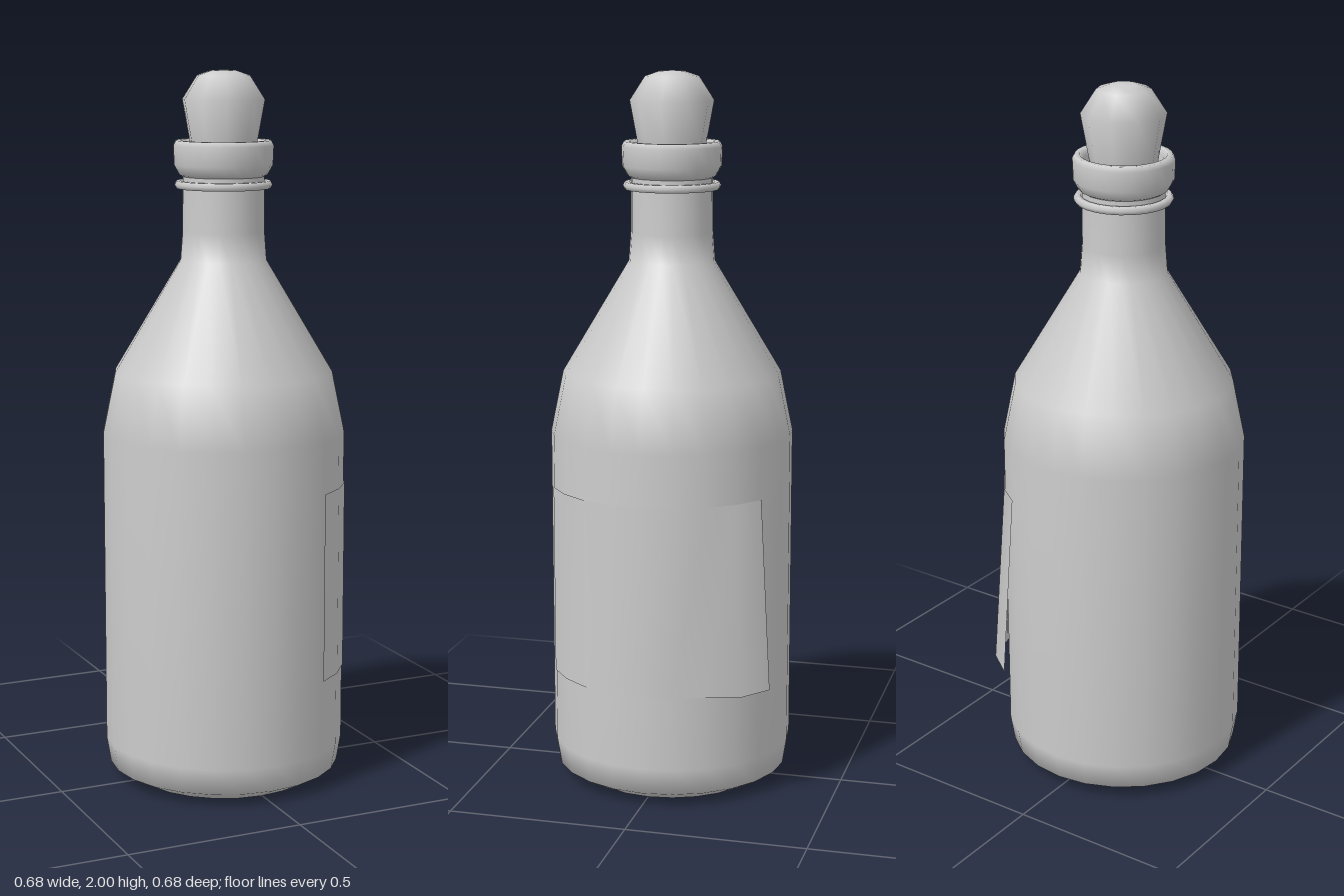
import * as THREE from 'three';

export function createModel() {
  const group = new THREE.Group();
  const grey = new THREE.MeshStandardMaterial({ color: 0xcccccc, side: THREE.DoubleSide });

  function add(name, geometry) {
    const mesh = new THREE.Mesh(geometry, grey);
    mesh.name = name;
    group.add(mesh);
    return mesh;
  }

  // Turned part from [radius, height] pairs
  function turned(name, profile, sides) {
    const points = profile.map(([r, y]) => new THREE.Vector2(r, y));
    return add(name, new THREE.LatheGeometry(points, sides));
  }

  // Bottle: flat base, rounded foot, straight wall, shoulder and neck
  turned('base', [[0, 0], [0.262, 0]], 24);
  turned('body', [
    [0.262, 0], [0.328, 0.036], [0.34, 0.11], [0.34, 1.0],
    [0.305, 1.17], [0.12, 1.48], [0.114, 1.56], [0.113, 1.73],
  ], 24);

  // Thin ring under the lip
  const ring = add('neckRing', new THREE.TorusGeometry(0.124, 0.012, 6, 24));
  ring.geometry.rotateX(Math.PI / 2);
  ring.position.y = 1.688;

  // Rolled lip, turning down into the neck
  turned('lip', [
    [0.104, 1.705], [0.122, 1.715], [0.137, 1.742], [0.139, 1.795],
    [0.132, 1.809], [0.118, 1.809], [0.108, 1.795], [0.1, 1.7],
  ], 24);

  // Tapered stopper with a domed top
  const stopper = turned('stopper', [
    [0, 1.68], [0.08, 1.68], [0.094, 1.8], [0.116, 1.92], [0.074, 1.985], [0.035, 1.998], [0, 2.0],
  ], 10);
  stopper.rotation.y = Math.PI / 2;

  // Label wrapped around the left side, its lower back corner peeling away
  const segments = 8;
  const label = new THREE.PlaneGeometry(1, 1, segments, 1);
  const p = label.attributes.position;
  for (let i = 0; i < p.count; i++) {
    const column = i % (segments + 1);
    const angle = THREE.MathUtils.degToRad(60 - column * 15);
    const isBottom = i > segments;
    let radius = 0.343;
    if (isBottom && column >= 7) radius = 0.38;
    p.setXYZ(i, radius * Math.cos(angle), isBottom ? 0.32 : 0.855, radius * Math.sin(angle));
  }
  label.computeVertexNormals();
  add('label', label);

  return group;
}
